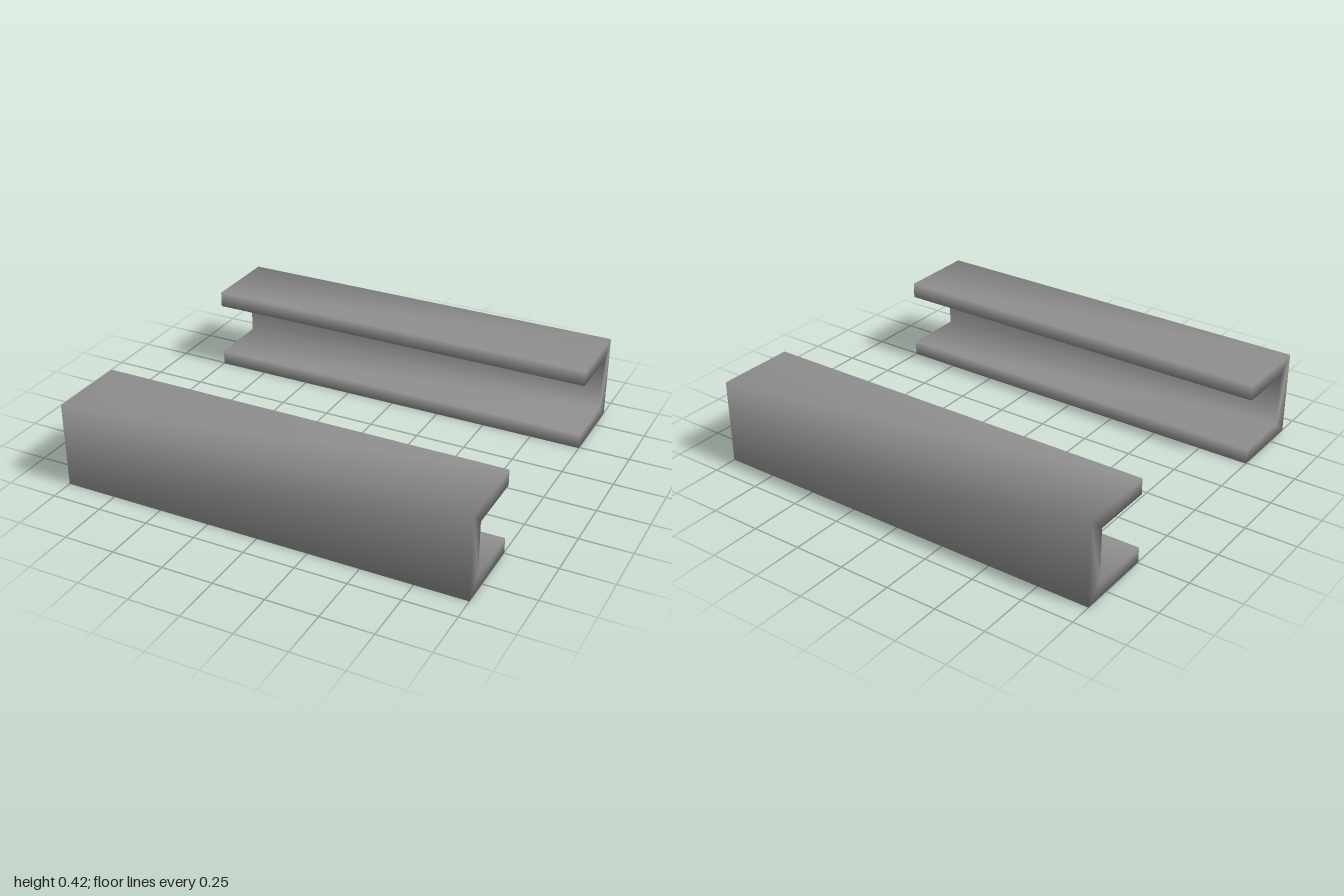
import * as THREE from 'three';
import { mergeVertices } from 'three/addons/utils/BufferGeometryUtils.js';

const LENGTH = 2, HEIGHT = 0.416;
const OUTER = 0.884, WEB = 0.8, LIP = 0.494; // distances from the centre line
const LOW = 0.074, HIGH = 0.339; // inner faces of the two flanges

// C-shaped channel running along x, web on the outside, with soft shared normals
function channelGeometry() {
  const section = new THREE.Shape([
    [-OUTER, 0], [-LIP, 0], [-LIP, LOW], [-WEB, LOW],
    [-WEB, HIGH], [-LIP, HIGH], [-LIP, HEIGHT], [-OUTER, HEIGHT],
  ].map(([x, y]) => new THREE.Vector2(x, y)));
  const extruded = new THREE.ExtrudeGeometry(section, { depth: LENGTH, bevelEnabled: false });
  extruded.translate(0, 0, -LENGTH / 2).rotateY(Math.PI / 2);
  extruded.deleteAttribute('normal');
  extruded.deleteAttribute('uv');
  extruded.clearGroups();
  const geometry = mergeVertices(extruded, 1e-4);
  geometry.computeVertexNormals();
  return geometry;
}

export function createModel() {
  const model = new THREE.Group();
  model.name = 'channelPair';
  const steel = new THREE.MeshStandardMaterial({ color: 0x909090 });
  steel.name = 'steelGrey';

  // Two channels whose open sides face each other
  const geometry = channelGeometry();
  ['frontChannel', 'backChannel'].forEach((name, i) => {
    const channel = new THREE.Mesh(geometry, steel);
    channel.name = name;
    channel.rotation.y = i * Math.PI;
    model.add(channel);
  });
  return model;
}
